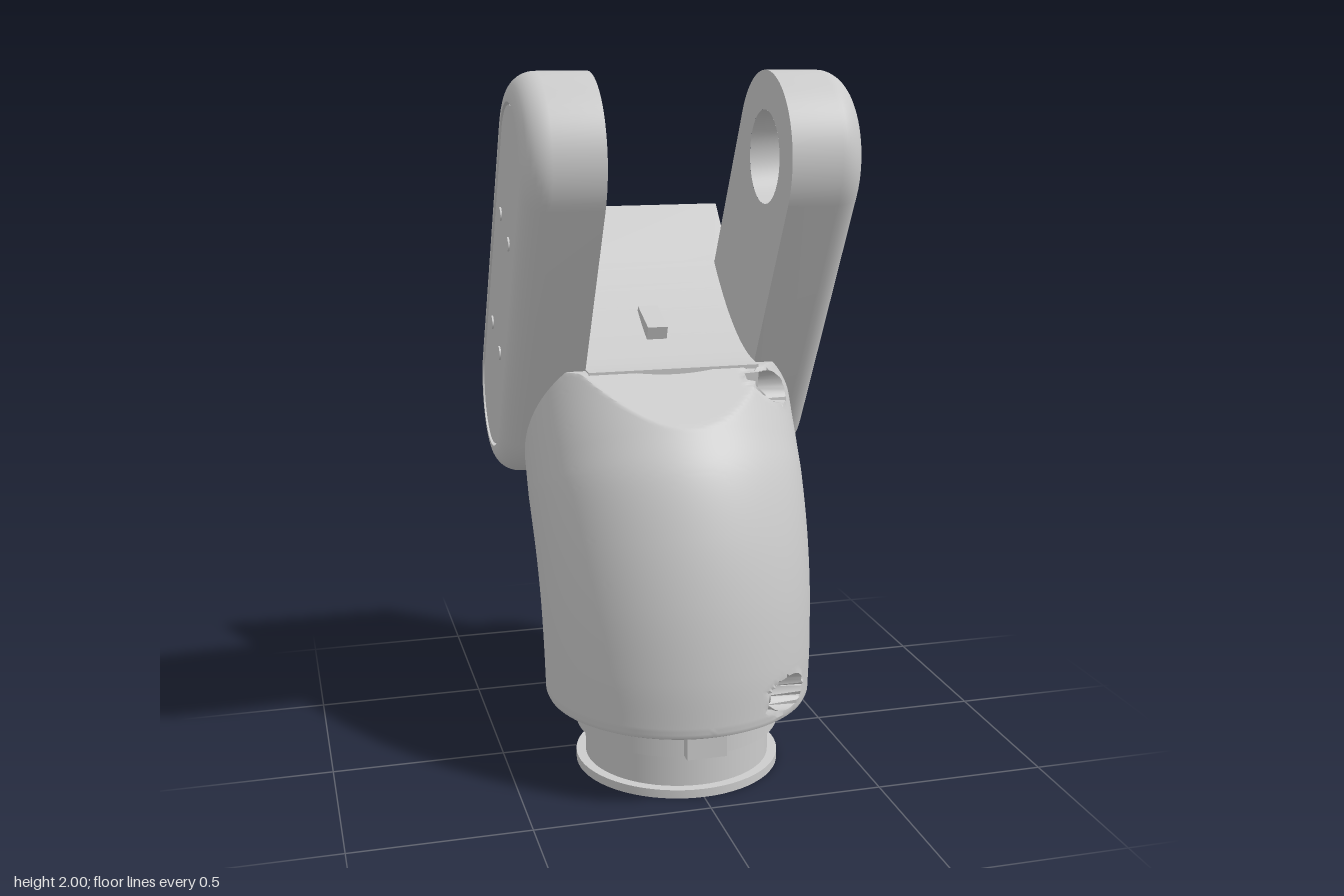
import * as THREE from 'three';
import { toCreasedNormals } from 'three/addons/utils/BufferGeometryUtils.js';
import { RoundedBoxGeometry } from 'three/addons/geometries/RoundedBoxGeometry.js';

const grey = new THREE.MeshStandardMaterial({ color: 0xcccccc });
const greyDouble = new THREE.MeshStandardMaterial({ color: 0xcccccc, side: THREE.DoubleSide });

function add(parent, name, geometry, x = 0, y = 0, z = 0, material = grey) {
  const mesh = new THREE.Mesh(geometry, material);
  mesh.name = name;
  mesh.position.set(x, y, z);
  parent.add(mesh);
  return mesh;
}

// Skin a list of closed rings (each an array of [x, y, z])
function loft(rings, crease) {
  const n = rings[0].length, index = [];
  for (let i = 0; i < rings.length - 1; i++) {
    for (let j = 0; j < n; j++) {
      const a = i * n + j, b = i * n + (j + 1) % n;
      index.push(a, b, a + n, b, b + n, a + n);
    }
  }
  const g = new THREE.BufferGeometry();
  g.setAttribute('position', new THREE.Float32BufferAttribute(rings.flat(2), 3));
  g.setIndex(index);
  return toCreasedNormals(g, crease);
}

// Extrude a side outline (backward distance, height) from x0 to x1
function sideExtrude(shape, x0, x1) {
  const g = new THREE.ExtrudeGeometry(shape, { depth: x1 - x0, bevelEnabled: false, curveSegments: 24 });
  g.rotateY(Math.PI / 2).translate(x0, 0, 0);
  return toCreasedNormals(g, 0.5);
}

function circleHole(x, y, r) {
  return new THREE.Path().absarc(x, y, r, 0, Math.PI * 2, true);
}

// Cylinder lying along x
const xCylinder = (r, length, sides = 32) =>
  new THREE.CylinderGeometry(r, r, length, sides).rotateZ(-Math.PI / 2);

// ---- Bent body ----
const screwHoles = [ // z, y, radius, floor x
  [0.12, 1.10, 0.05, 0.2], [-0.28, 0.67, 0.05, 0.13],
  [0.43, 0.29, 0.05, 0.17], [-0.16, 0.29, 0.05, 0.17],
];
const slots = [[0.23, 0.41, 0.036, 0.33], [0.015, 0.41, 0.036, 0.33]];

// Push the skin inward along x to form a pocket with a clean rim
function pocket(p, [z, y, r, floor], square) {
  const dz = p[2] - z, dy = p[1] - y;
  const d = square ? Math.max(Math.abs(dz), Math.abs(dy)) : Math.hypot(dz, dy);
  if (p[0] < floor || d > 1.2 * r) return;
  if (d > 0.75 * r) {
    p[2] = z + dz * r / d;
    p[1] = y + dy * r / d;
  }
  if (d < r) p[0] = floor;
}

function bodyGeometry() {
  const curve = pts => new THREE.CatmullRomCurve3(pts.map(([z, y]) => new THREE.Vector3(0, y, z)));
  const front = curve([[0.52, 0.23], [0.52, 0.38], [0.5, 0.58], [0.455, 0.77], [0.39, 0.93], [0.31, 1.04], [0.21, 1.17], [0.12, 1.3]]);
  const back = curve([[-0.25, 0.23], [-0.25, 0.34], [-0.265, 0.44], [-0.3, 0.52], [-0.35, 0.6], [-0.38, 0.7], [-0.4, 0.8], [-0.42, 0.9]]);
  const around = 192, steps = 110, rings = [];
  const ring = (t, scale, drop = 0) => {
    const f = front.getPoint(t), b = back.getPoint(t);
    const c = f.clone().add(b).multiplyScalar(0.5), half = f.clone().sub(c);
    const width = 0.385 + 0.018 * Math.min(1, t * 1.6);
    const out = [];
    for (let j = 0; j < around; j++) {
      const a = j / around * Math.PI * 2, k = Math.cos(a) * scale;
      const p = [Math.sin(a) * width * scale, c.y + half.y * k - drop, c.z + half.z * k];
      // slanted flat on the front shoulder
      p[1] = Math.min(p[1], 1.04 + 0.6 * (0.31 - p[2]), 1.165);
      screwHoles.forEach(h => pocket(p, h, false));
      slots.forEach(h => pocket(p, h, true));
      out.push(p);
    }
    rings.push(out);
  };
  ring(0, 0, 0.02);
  ring(0, 0.95, 0.02);
  ring(0, 0.985, 0.013);
  for (let i = 0; i <= steps; i++) ring(i / steps, 1);
  ring(1, 0);
  return loft(rings, 0.5);
}

// ---- Fork arms ----
const ARM = 0.831, ARM_R = 0.237;

// Stadium-shaped solid swept through [radius, x] steps, x increasing outward
function stadium(profile) {
  const n = 64;
  return loft(profile.map(([r, x]) => Array.from({ length: n }, (_, j) => {
    const a = (j % 32 / 31 + (j < 32 ? -0.5 : 0.5)) * Math.PI;
    return [x, (j < 32 ? ARM : 0) + r * Math.cos(a), r * Math.sin(a)];
  }), ), 0.6);
}

function armProfile(outer) {
  const bevel = 0.075, steps = [];
  for (let i = 0; i <= 8; i++) {
    const a = i / 8 * Math.PI / 2;
    steps.push([ARM_R - bevel + bevel * Math.cos(a), outer - bevel + bevel * Math.sin(a)]);
  }
  // inset cover panel with a narrow groove
  steps.push([0.158, outer], [0.158, outer - 0.015], [0.15, outer - 0.015], [0.15, outer - 0.004], [0, outer - 0.004]);
  return steps;
}

function armGroup(name) {
  const g = new THREE.Group();
  g.name = name;
  g.position.set(0, 1.04, -0.28);
  g.rotation.x = Math.PI / 6;
  return g;
}

// The stadium outline starts at the +z quarter, so rotate its two caps into place
function leftArm() {
  const g = armGroup('leftArm');
  add(g, 'armShell', stadium([[ARM_R, 0.25], ...armProfile(0.468)]));
  const face = new THREE.Shape();
  face.absarc(0, ARM, ARM_R, 0, Math.PI, false);
  face.absarc(0, 0, ARM_R, Math.PI, Math.PI * 2, false);
  face.holes.push(circleHole(0, ARM, 0.13));
  add(g, 'innerFace', new THREE.ShapeGeometry(face, 32).rotateY(-Math.PI / 2), 0.25);
  const bore = [[0, 0.15], [0.1, 0.15], [0.1, 0.11], [0.13, 0.11], [0.13, 0]].map(p => new THREE.Vector2(...p));
  const boreGeometry = toCreasedNormals(new THREE.LatheGeometry(bore, 40).rotateZ(-Math.PI / 2), 0.5);
  add(g, 'bearingBore', boreGeometry, 0.25, ARM, 0, greyDouble);
  return g;
}

function rightArm() {
  const g = armGroup('rightArm');
  const recess = [[0, 0.38], [0.18, 0.38], [0.18, 0.25], [ARM_R, 0.25]];
  const profile = [...recess, ...armProfile(0.468)].map(([r, x]) => [r, -x]).reverse();
  add(g, 'armShell', stadium(profile));
  // fittings inside the open recess
  add(g, 'upperBoss', xCylinder(0.08, 0.1), -0.33, ARM, 0);
  add(g, 'lowerBoss', xCylinder(0.11, 0.06), -0.35, 0, 0);
  add(g, 'lowerHub', xCylinder(0.06, 0.1), -0.33, 0, 0);
  const frame = new THREE.Shape([[-0.13, 0.22], [0.13, 0.22], [0.13, 0.64], [-0.13, 0.64]].map(p => new THREE.Vector2(...p)));
  frame.holes.push(new THREE.Path([[-0.09, 0.27], [-0.09, 0.59], [0.09, 0.59], [0.09, 0.27]].map(p => new THREE.Vector2(...p))));
  add(g, 'recessFrame', sideExtrude(frame, -0.38, -0.33));
  // cover screws
  for (const y of [0.22, 0.61]) for (const z of [-0.07, 0.07])
    add(g, 'coverScrew', xCylinder(0.02, 0.01, 16), -0.464, y, z);
  return g;
}

// ---- Base ----
function flangeGeometry() {
  const s = new THREE.Shape().absarc(0, 0, 0.298, 0, Math.PI * 2, false);
  for (let i = 0; i < 8; i++) {
    const a = (i + 0.5) * Math.PI / 4;
    s.holes.push(circleHole(0.247 * Math.cos(a), 0.247 * Math.sin(a), 0.017));
    s.holes.push(circleHole(0.115 * Math.cos(a), 0.115 * Math.sin(a), 0.01));
  }
  s.holes.push(circleHole(0, 0, 0.045));
  const groove = new THREE.Path();
  groove.absarc(0, 0, 0.195, -2.4, 2.4, false);
  groove.absarc(0, 0, 0.15, 2.4, -2.4, true);
  s.holes.push(groove);
  const g = new THREE.ExtrudeGeometry(s, { depth: 0.025, bevelEnabled: false, curveSegments: 32 });
  return toCreasedNormals(g.rotateX(-Math.PI / 2), 0.5);
}

export function createModel() {
  const model = new THREE.Group();
  model.name = 'forkedJoint';

  // mounting base
  const baseZ = 0.133;
  add(model, 'baseFlange', flangeGeometry(), 0, 0, baseZ);
  add(model, 'baseNeck', new THREE.CylinderGeometry(0.27, 0.27, 0.11, 64), 0, 0.075, baseZ);
  add(model, 'baseCollar', new THREE.CylinderGeometry(0.296, 0.296, 0.095, 64), 0, 0.1725, baseZ);
  add(model, 'collarKey', new THREE.BoxGeometry(0.115, 0.085, 0.1), 0, 0.1725, 0.408);

  // body with its sunk screws
  add(model, 'body', bodyGeometry());
  for (const [z, y, , floor] of screwHoles)
    add(model, 'bodyScrew', xCylinder(0.026, 0.03, 20), floor, y, z);

  // yoke between the arms
  const yoke = new THREE.Shape();
  yoke.moveTo(0.5, 1.57);
  yoke.lineTo(0.35, 1.41);
  yoke.quadraticCurveTo(0.11, 1.168, -0.11, 1.168);
  yoke.lineTo(-0.1, 1.0);
  yoke.lineTo(0.162, 0.837);
  yoke.absarc(0.28, 1.04, 0.235, -2.1, 0, false);
  yoke.lineTo(0.5, 1.1);
  yoke.closePath();
  add(model, 'yoke', sideExtrude(yoke, -0.25, 0.25));

  // wedge flanks, the left one with a screw hole
  const flank = () => new THREE.Shape([[0.5, 1.57], [0.35, 1.41], [0.35, 1.1], [0.5, 1.06]].map(p => new THREE.Vector2(...p)));
  const drilled = flank();
  drilled.holes.push(circleHole(0.44, 1.39, 0.048));
  add(model, 'wedgeFlankLeft', sideExtrude(drilled, 0.25, 0.3));
  add(model, 'wedgeFlankRight', sideExtrude(flank(), -0.3, -0.25));
  add(model, 'wedgeScrew', xCylinder(0.025, 0.03, 20), 0.255, 1.39, -0.44);
  add(model, 'backPanel', new THREE.BoxGeometry(0.56, 0.44, 0.01), 0, 1.33, -0.501);

  // small tab on the saddle and button at the back
  add(model, 'saddleTab', new THREE.BoxGeometry(0.06, 0.09, 0.13), 0, 1.235, -0.155).rotation.x = 0.35;
  add(model, 'backButton', new RoundedBoxGeometry(0.16, 0.175, 0.13, 4, 0.02), 0, 0.72, -0.372).rotation.x = -0.06;

  model.add(leftArm(), rightArm());
  return model;
}
